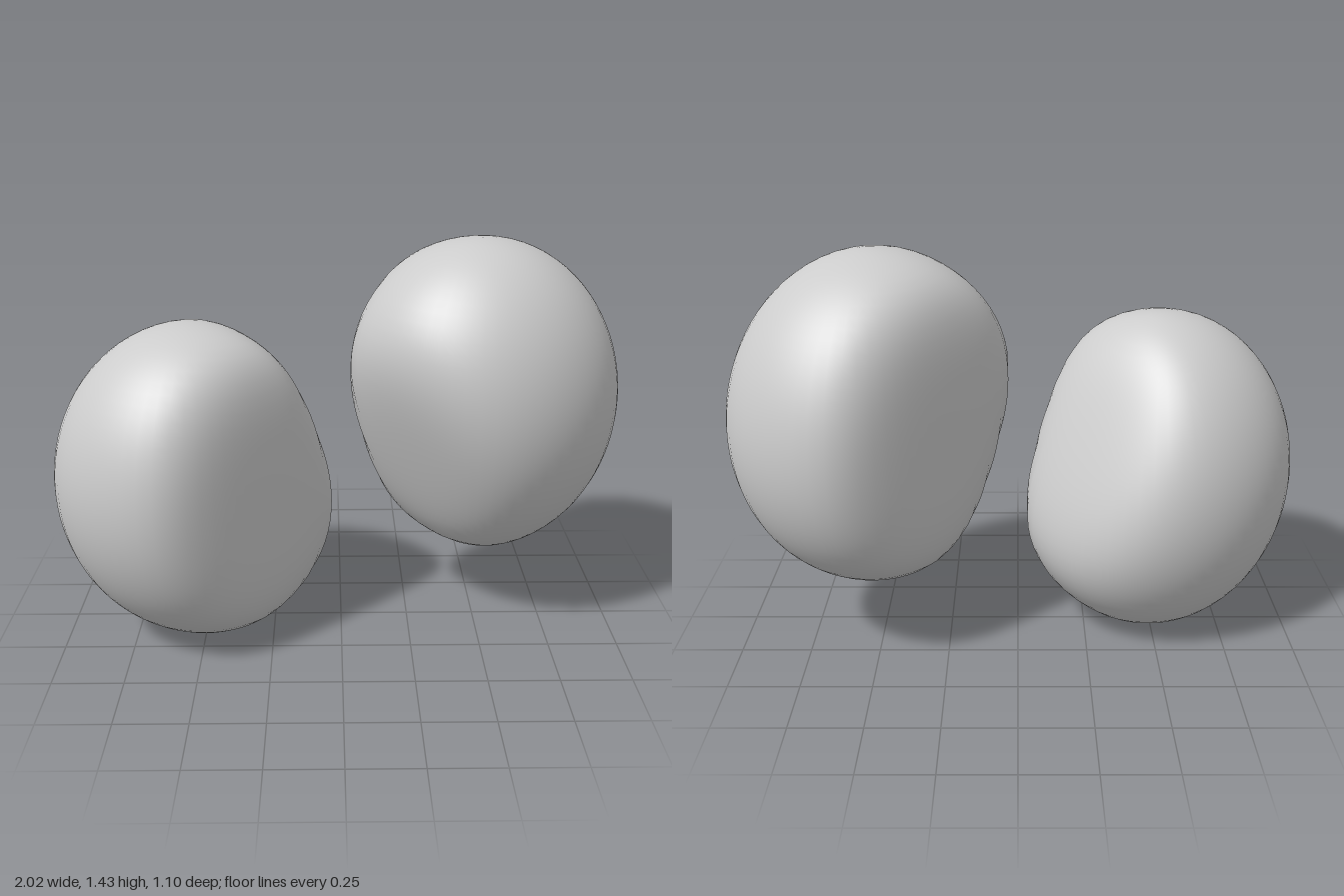
import * as THREE from 'three';
import { mergeVertices } from 'three/addons/utils/BufferGeometryUtils.js';

const CENTRE = new THREE.Vector3(-0.507, 0.585, 0.077); // right lobe's origin
const MID_HEIGHT = 0.715; // the lobes are point mirrored about this height
const SOFTNESS = 8; // higher gives tighter rounding where surfaces meet

// Distance from the lobe's origin to its surface along direction d:
// a leaning ellipsoid, softly cut by a flat inner face and a flattened shoulder.
function lobeRadius(d) {
  const u = (d.x + d.z) * Math.SQRT1_2; // towards the flat face
  const v = (d.x - d.z) * Math.SQRT1_2; // across the flat face
  const uLean = u - 0.08 * v - 0.035 * d.y;
  const vLean = v + 0.055 * d.y;
  const ellipsoid = Math.hypot(uLean / (uLean > 0 ? 0.52 : 0.462), vLean / 0.503, d.y / 0.587);
  const flatFace = Math.max(0, u) / 0.335;
  const shoulder = Math.max(0, 0.92 * v + 0.38 * d.y) / 0.387;
  const sum = ellipsoid ** SOFTNESS + flatFace ** SOFTNESS + shoulder ** SOFTNESS;
  return sum ** (-1 / SOFTNESS);
}

// side = 1 builds the right lobe, side = -1 its point mirrored twin
function makeLobe(side, name) {
  let geometry = new THREE.SphereGeometry(1, 56, 40);
  geometry.deleteAttribute('uv');
  geometry.deleteAttribute('normal');
  geometry = mergeVertices(geometry, 1e-4);
  const pos = geometry.attributes.position;
  const d = new THREE.Vector3();
  for (let i = 0; i < pos.count; i++) {
    d.fromBufferAttribute(pos, i).normalize();
    const r = lobeRadius(d.clone().multiplyScalar(side));
    pos.setXYZ(i, d.x * r, d.y * r, d.z * r);
  }
  geometry.computeVertexNormals();
  const mesh = new THREE.Mesh(geometry, new THREE.MeshStandardMaterial({ color: 0xcccccc }));
  mesh.name = name;
  mesh.position.set(
    side * CENTRE.x,
    MID_HEIGHT + side * (CENTRE.y - MID_HEIGHT),
    side * CENTRE.z
  );
  return mesh;
}

export function createModel() {
  const model = new THREE.Group();
  model.name = 'twoLobes';
  model.add(makeLobe(1, 'rightLobe'), makeLobe(-1, 'leftLobe'));
  return model;
}
